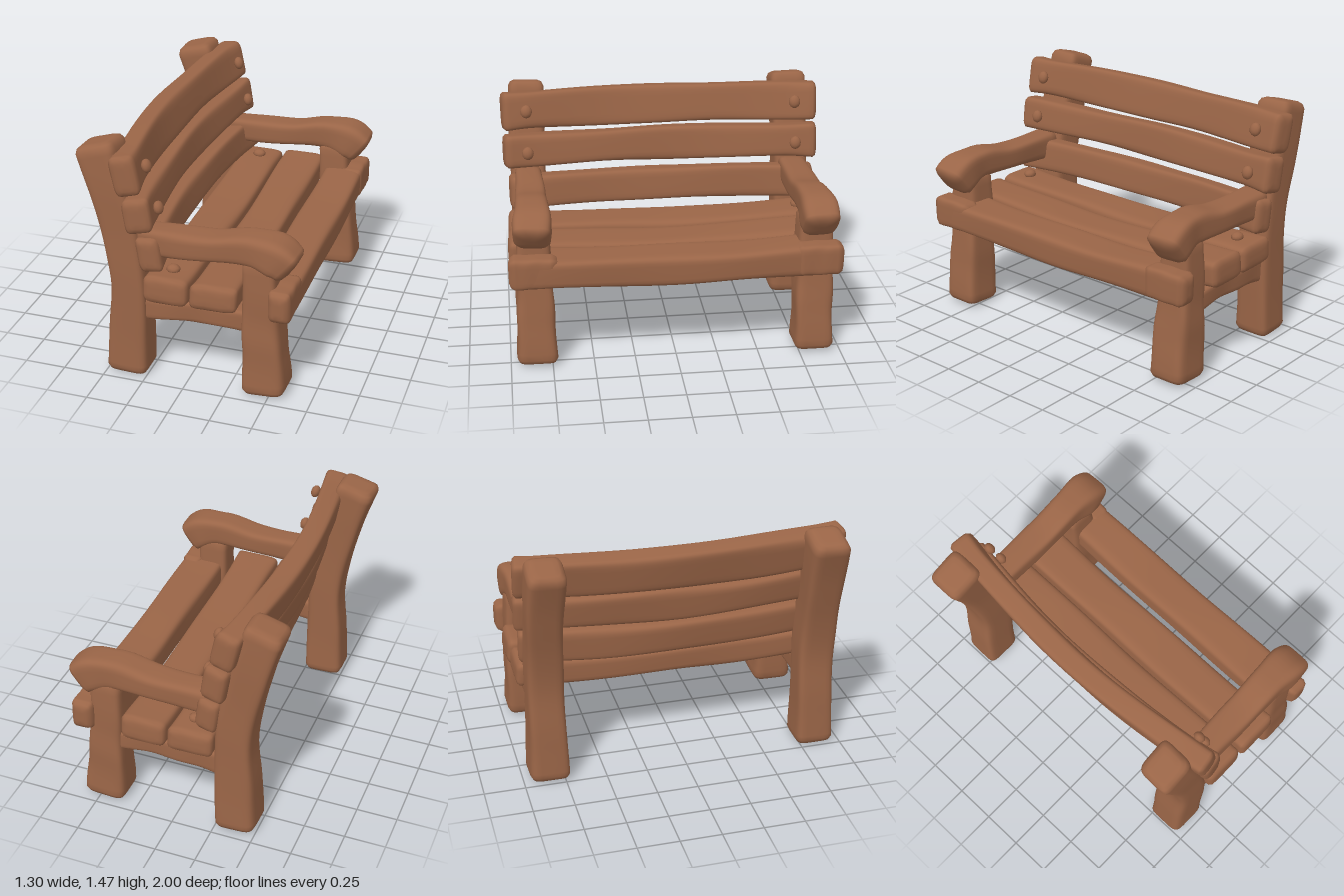
import * as THREE from 'three';

const wood = new THREE.MeshStandardMaterial({ color: 0x9a6547 });
wood.name = 'brown wood';

const SIDES = 28;
const V = (x, y, z) => new THREE.Vector3(x, y, z);

// Hand-carved beam: a rounded rectangle swept through stations [x, y, z, width along uRef, other width]
function beam(name, stations, uRef, { bevel = 0.035, wobble = 0.005, seed = 1, power = 0.36 } = {}) {
  const curve = new THREE.CatmullRomCurve3(stations.map(s => V(s[0], s[1], s[2])));
  const len = curve.getLength(), last = stations.length - 1;
  const rings = [];
  const edge = [[0, 1.9], [0, 1], [0.3, 0.35], [1, 0]]; // [distance from end, inset] in bevels
  for (const [d, inset] of edge) rings.push([d * bevel / len, inset * bevel]);
  for (let i = 1; i < 24; i++) {
    const t = i / 24;
    if (t * len > bevel * 1.3 && (1 - t) * len > bevel * 1.3) rings.push([t, 0]);
  }
  for (const [d, inset] of [...edge].reverse()) rings.push([1 - d * bevel / len, inset * bevel]);

  const pos = [], index = [];
  const sp = a => Math.sign(a) * Math.abs(a) ** power;
  rings.forEach(([t, inset]) => {
    const c = curve.getPoint(t), dir = curve.getTangent(t);
    const v = dir.clone().cross(uRef).normalize(), u = v.clone().cross(dir);
    const k = Math.min(Math.floor(t * last), last - 1), f = THREE.MathUtils.smoothstep(t * last - k, 0, 1);
    const size = j => THREE.MathUtils.lerp(stations[k][j], stations[k + 1][j], f) / 2 - inset;
    const a = Math.max(size(3), 0.01), b = Math.max(size(4), 0.01);
    for (let j = 0; j < SIDES; j++) {
      const ang = (j + 0.5) / SIDES * Math.PI * 2;
      const w = wobble * Math.sin(t * 9 + seed * 2.3 + 2 * ang) * Math.sin(t * 5 + seed);
      const p = c.clone()
        .addScaledVector(u, (a + w) * sp(Math.cos(ang)))
        .addScaledVector(v, (b + w) * sp(Math.sin(ang)));
      pos.push(p.x, p.y, p.z);
    }
  });
  // u x v points back along the path, so the walls wind the other way
  for (let i = 0; i < rings.length - 1; i++) {
    for (let j = 0; j < SIDES; j++) {
      const a = i * SIDES + j, b = i * SIDES + (j + 1) % SIDES, c = a + SIDES, d = b + SIDES;
      index.push(a, b, c, b, d, c);
    }
  }
  const end = (rings.length - 1) * SIDES;
  const c0 = pos.length / 3;
  [curve.getPoint(0), curve.getPoint(1)].forEach(p => pos.push(p.x, p.y, p.z));
  for (let j = 0; j < SIDES; j++) {
    const n = (j + 1) % SIDES;
    index.push(c0, n, j, c0 + 1, end + j, end + n);
  }
  const geo = new THREE.BufferGeometry();
  geo.setAttribute('position', new THREE.Float32BufferAttribute(pos, 3));
  geo.setIndex(index);
  geo.computeVertexNormals();
  const mesh = new THREE.Mesh(geo, wood);
  mesh.name = name;
  return mesh;
}

// Plank across the bench: mid values are offsets at the centre
function plank(name, x, y, w, h, half, { bow = 0, sag = 0, tilt = 0, seed = 1 } = {}) {
  const st = [-1, -0.8, -0.4, 0, 0.4, 0.8, 1].map((s, i) => {
    const m = 1 - s * s;
    return [x + bow * m, y + sag * m, s * half, w, h * (1 + 0.03 * Math.sin(i * 2.1 + seed))];
  });
  return beam(name, st, V(Math.cos(tilt), Math.sin(tilt), 0), { seed });
}

// Chipped wooden peg head
function peg(name, x, y, z, r, angle) {
  const mesh = new THREE.Mesh(new THREE.DodecahedronGeometry(r, 1), wood);
  mesh.name = name;
  mesh.position.set(x, y, z);
  mesh.rotation.z = angle;
  mesh.scale.set(0.8, 1.15, 1);
  return mesh;
}

export function createModel() {
  const bench = new THREE.Group();
  bench.name = 'bench';
  const zAxis = V(0, 0, 1);

  for (const s of [1, -1]) {
    const side = new THREE.Group();
    side.name = s > 0 ? 'leftSide' : 'rightSide';
    const z = 0.84 * s;
    // Back post, curving backwards to the top
    side.add(beam('backPost', [
      [-0.375, 0.005, z, 0.235, 0.25], [-0.365, 0.3, z, 0.23, 0.235], [-0.355, 0.62, z, 0.22, 0.22],
      [-0.385, 0.88, z, 0.22, 0.22], [-0.45, 1.15, z, 0.22, 0.225], [-0.535, 1.45, z * 0.99, 0.22, 0.235],
    ], zAxis, { seed: 2 + s }));
    // Front leg
    side.add(beam('frontLeg', [
      [0.47, 0.012, z, 0.24, 0.26], [0.455, 0.3, z, 0.225, 0.235],
      [0.44, 0.55, z, 0.215, 0.205], [0.43, 0.88, z, 0.19, 0.19],
    ], zAxis, { seed: 4 + s }));
    // Armrest with a drooping rounded front
    side.add(beam('armrest', [
      [-0.33, 0.885, z, 0.17, 0.16], [-0.1, 0.887, z, 0.18, 0.155], [0.15, 0.9, z, 0.185, 0.15],
      [0.38, 0.925, z, 0.2, 0.175], [0.53, 0.895, z * 1.005, 0.22, 0.22], [0.615, 0.835, z * 1.01, 0.21, 0.2],
    ], zAxis, { seed: 6 + s, bevel: 0.055, power: 0.45 }));
    // Rail between the legs
    side.add(beam('sideRail', [
      [-0.36, 0.455, z, 0.17, 0.16], [-0.1, 0.465, z, 0.16, 0.14],
      [0.15, 0.475, z, 0.16, 0.13], [0.44, 0.465, z, 0.17, 0.14],
    ], zAxis, { seed: 8 + s }));
    // Front plank end running past the leg
    side.add(beam('frontPlankEnd', [
      [0.568, 0.63, 0.7 * s, 0.125, 0.185], [0.568, 0.632, 0.85 * s, 0.13, 0.19], [0.565, 0.63, 0.99 * s, 0.135, 0.19],
    ], V(1, 0, 0), { seed: 3 + s, wobble: 0.002 }));
    // Peg heads
    side.add(peg('upperSlatPeg', -0.247, 1.335, z, 0.036, 0.25));
    side.add(peg('middleSlatPeg', -0.182, 1.085, z, 0.036, 0.2));
    side.add(peg('seatPeg', -0.1, 0.705, z, 0.036, Math.PI / 2));
    bench.add(side);
  }

  // Back slats, bowed backwards in the middle
  const slats = [
    ['upperSlat', -0.325, 1.315, 0.145, 0.235, 0.992, 0.2],
    ['middleSlat', -0.26, 1.075, 0.155, 0.205, 0.988, 0.16],
    ['lowerSlat', -0.205, 0.825, 0.135, 0.205, 0.96, 0.12],
  ];
  slats.forEach(([name, x, y, w, h, half, tilt], i) =>
    bench.add(plank(name, x, y, w, h, half, { bow: -0.085, sag: -0.008, tilt, seed: i + 1 })));

  // Seat planks, sagging slightly
  bench.add(plank('rearSeatPlank', -0.11, 0.62, 0.27, 0.165, 0.98, { sag: -0.03, seed: 5 }));
  bench.add(plank('middleSeatPlank', 0.18, 0.625, 0.275, 0.16, 0.985, { sag: -0.04, seed: 6 }));
  bench.add(plank('frontSeatPlank', 0.5, 0.63, 0.26, 0.185, 0.92, { sag: -0.025, seed: 7 }));
  return bench;
}
